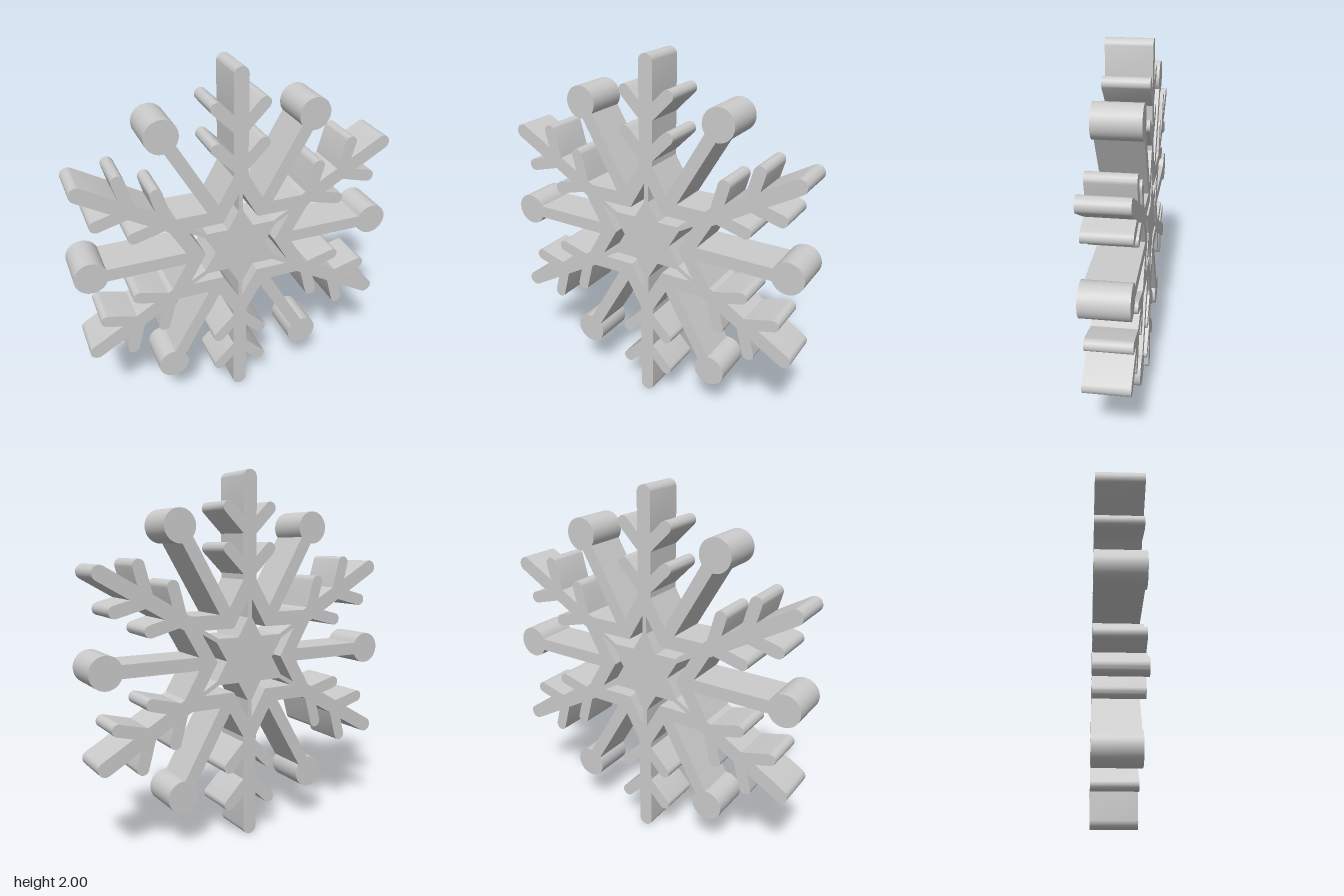
import * as THREE from 'three';
import { toCreasedNormals } from 'three/addons/utils/BufferGeometryUtils.js';

const DEPTH = 0.24;
const CENTRE_Y = 1;
const ARM = 0.04;        // half width of a branched arm
const TWIG = 0.033;      // half width of its side twigs
const STEM = 0.035;      // half width of a ball-tipped arm
const BALL = 0.088;      // radius of the ball tip
const STRUT = 0.012;     // half width of the struts between star and ring
const SLOPE = Math.tan(Math.PI / 6);

// Counter-clockwise arc as a list of points
function arc(cx, cy, r, from, to, n) {
  return Array.from({ length: n + 1 }, (_, i) => {
    const a = from + ((to - from) * i) / n;
    return new THREE.Vector2(cx + r * Math.cos(a), cy + r * Math.sin(a));
  });
}

const v = (x, y) => new THREE.Vector2(x, y);
const mirrored = (pts) => pts.map((p) => v(-p.x, p.y)).reverse();
const turned = (pts, angle) => pts.map((p) => p.clone().rotateAround(v(0, 0), angle));

// A 45 degree twig on the right of an arm, with a rounded end
function twig(y) {
  const root = y - 0.127 + ARM;
  const half = TWIG * Math.SQRT2;
  return [
    v(ARM, root - half),
    ...arc(0.127, y, TWIG, -Math.PI / 4, (3 * Math.PI) / 4, 12),
    v(ARM, root + half),
  ];
}

// Branched arm pointing up: ring edge, two twigs per side, rounded tip
function branchedArm() {
  const half = [v(ARM, 0.5 - ARM / SLOPE), ...twig(0.593), ...twig(0.805)];
  return [...half, ...arc(0, 0.96, ARM, 0, Math.PI, 16), ...mirrored(half)];
}

// Straight arm pointing up with a round ball at its end
function ballArm() {
  const neck = Math.acos(STEM / BALL);
  return [
    v(STEM, 0.309),
    ...arc(0, 0.815, BALL, -neck, Math.PI + neck, 40),
    v(-STEM, 0.309),
  ];
}

// Chevron opening between the central star and the ring, pointing up
function chevron() {
  const strutPoint = (tip) => v(-STRUT, tip - STRUT / SLOPE);
  const side = turned([strutPoint(0.248), strutPoint(0.346)], -Math.PI / 6);
  // strut corners lie on the right edge of the neighbouring arm, then mirror
  const right = side.map((p) => v(Math.abs(p.x), p.y));
  return [v(0, 0.143), ...right, v(0, 0.2), ...mirrored(right)];
}

export function createModel() {
  const group = new THREE.Group();
  group.name = 'snowflake';

  // One continuous outline, repeated six times around the centre
  const outline = [];
  const holes = [];
  for (let i = 0; i < 6; i++) {
    const angle = (i * Math.PI) / 3;
    outline.push(...turned(branchedArm(), angle));
    outline.push(...turned(ballArm(), angle + Math.PI / 6));
    holes.push(new THREE.Path(turned(chevron(), angle + Math.PI / 6)));
  }
  const shape = new THREE.Shape(outline);
  shape.holes = holes;

  const extruded = new THREE.ExtrudeGeometry(shape, { depth: DEPTH, bevelEnabled: false });
  extruded.translate(0, CENTRE_Y, -DEPTH / 2);

  const body = new THREE.Mesh(
    toCreasedNormals(extruded, Math.PI / 7),
    new THREE.MeshStandardMaterial({ color: 0xcccccc })
  );
  body.name = 'snowflakeBody';
  group.add(body);
  return group;
}
